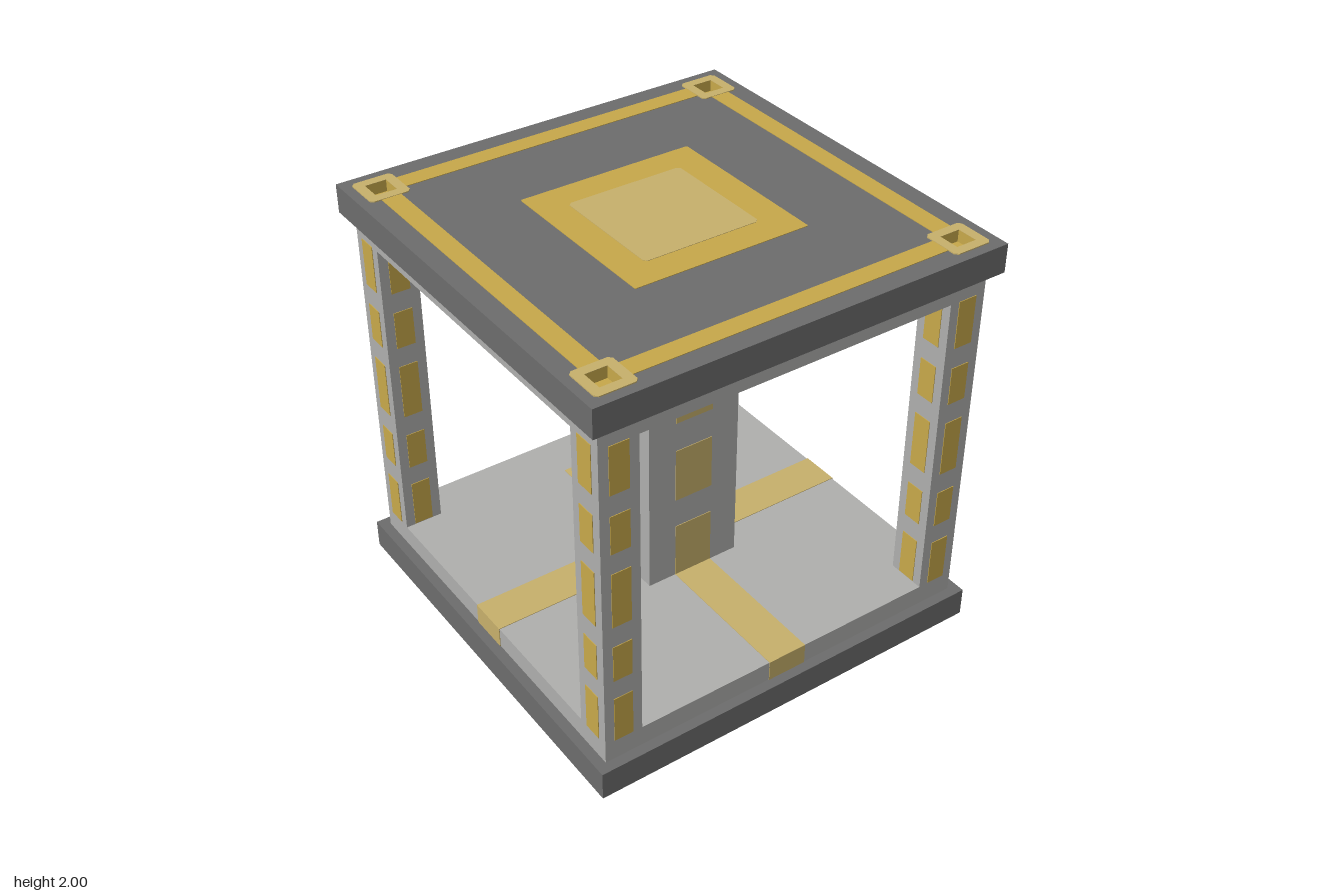
import * as THREE from 'three';

const mat = (name, color) => {
  const m = new THREE.MeshStandardMaterial({ color });
  m.name = name;
  return m;
};

export function createModel() {
  const model = new THREE.Group();
  model.name = 'pillaredBlock';
  const dark = mat('darkGrey', 0x6d6d6d);
  const light = mat('lightGrey', 0xb0b0ae);
  const gold = mat('gold', 0xc8a94b);
  const tan = mat('paleGold', 0xc8b16c);

  const add = (parent, name, geo, material) => {
    const mesh = new THREE.Mesh(geo, material);
    mesh.name = name;
    parent.add(mesh);
    return mesh;
  };
  const group = (name) => {
    const g = new THREE.Group();
    g.name = name;
    model.add(g);
    return g;
  };
  // Box given by its centre in x and z and its range in y
  const box = (parent, name, material, x, z, w, d, y0, y1) => {
    const mesh = add(parent, name, new THREE.BoxGeometry(w, y1 - y0, d), material);
    mesh.position.set(x, (y0 + y1) / 2, z);
    return mesh;
  };
  // Square outline with slightly clipped corners
  const square = (r, c = 0, x = 0, y = 0, T = THREE.Shape) => new T([
    [r - c, r], [c - r, r], [-r, r - c], [-r, c - r], [c - r, -r], [r - c, -r], [r, c - r], [r, r - c],
  ].map(([a, b]) => new THREE.Vector2(x + a, y + b)));
  // Lay an extruded outline flat between two heights
  const slab = (shape, y0, y1) => new THREE.ExtrudeGeometry(shape, { depth: y1 - y0, bevelEnabled: false })
    .rotateX(-Math.PI / 2).translate(0, y0, 0);

  const P = 0.858; // corner post centre
  const corners = [[1, 1], [1, -1], [-1, -1], [-1, 1]];
  const top = 1.995;

  // Base and roof, the roof pierced by four corner sockets
  box(model, 'base', dark, 0, 0, 2, 2, 0, 0.14);
  box(model, 'floorPlate', light, 0, 0, 1.9, 1.9, 0.14, 0.24);
  box(model, 'ceilingPlate', light, 0, 0, 1.9, 1.9, 1.76, 1.86);
  const roof = square(1);
  for (const [sx, sz] of corners) roof.holes.push(square(0.05, 0, sx * P, sz * P, THREE.Path));
  add(model, 'roof', slab(roof, 1.86, top), dark);

  // Roof inlays
  const inlays = group('roofInlays');
  add(inlays, 'centrePanel', slab(square(0.428, 0.005), top, top + 0.003), gold);
  add(inlays, 'centreInset', slab(square(0.285, 0.015), top, top + 0.005), tan);
  for (const s of [1, -1]) {
    box(inlays, 'borderStrip', gold, 0, s * P, 1.54, 0.092, top, top + 0.003);
    box(inlays, 'borderStrip', gold, s * P, 0, 0.092, 1.54, top, top + 0.003);
  }
  const pad = square(0.095, 0.015);
  pad.holes.push(square(0.05, 0, 0, 0, THREE.Path));
  for (const [sx, sz] of corners) {
    add(inlays, 'cornerPad', slab(pad, top, top + 0.005), tan).position.set(sx * P, 0, sz * P);
    // Socket lining: a box turned inside out
    const lining = new THREE.BoxGeometry(0.099, 0.054, 0.099).scale(-1, 1, 1);
    lining.computeVertexNormals();
    add(inlays, 'cornerSocket', lining, gold).position.set(sx * P, top - 0.023, sz * P);
  }

  // Painted marks on the four sides of an upright
  const marks = (parent, name, material, half, width, rowsFor) => {
    for (let i = 0; i < 4; i++) {
      const side = new THREE.Group();
      side.name = name + 'Side';
      side.rotation.y = i * Math.PI / 2;
      parent.add(side);
      for (const [y0, y1] of rowsFor(i)) box(side, name, material, 0, half, width, 0.006, y0, y1);
    }
  };

  // Corner posts with lit slots
  const slots = [[0.245, 0.48], [0.58, 0.765], [0.87, 1.145], [1.245, 1.43], [1.53, 1.76]];
  const tallSlots = slots.map(([a, b], i) => (i === 2 ? [a, 1.19] : [a, b]));
  for (const [sx, sz] of corners) {
    const post = group('cornerPost');
    post.position.set(sx * P, 0, sz * P);
    box(post, 'postBody', light, 0, 0, 0.184, 0.184, 0.24, 1.76);
    marks(post, 'postSlot', gold, 0.092, 0.092,
      (i) => (i === 1 && sx > 0 && sz < 0 ? tallSlots : slots));
  }

  // Central column
  const column = group('centralColumn');
  box(column, 'columnBody', light, 0, 0, 0.48, 0.48, 0.24, 1.76);
  marks(column, 'columnMark', tan, 0.24, 0.195,
    () => [[0.24, 0.525], [0.675, 0.95], [1.1, 1.43], [1.57, 1.76]]);

  // Floor strips running out and over the plate edge, shorter at the back
  const strips = group('floorStrips');
  for (let i = 0; i < 4; i++) {
    const arm = new THREE.Group();
    arm.name = 'floorStripArm';
    arm.rotation.y = i * Math.PI / 2;
    strips.add(arm);
    const back = i === 2;
    const end = back ? 0.71 : 0.953;
    box(arm, 'floorStrip', tan, 0, (0.24 + end) / 2, 0.195, end - 0.24, 0.24, 0.243);
    box(arm, 'edgeStrip', tan, 0, 0.95, 0.195, 0.006, 0.14, back ? 0.19 : 0.24);
  }

  return model;
}
